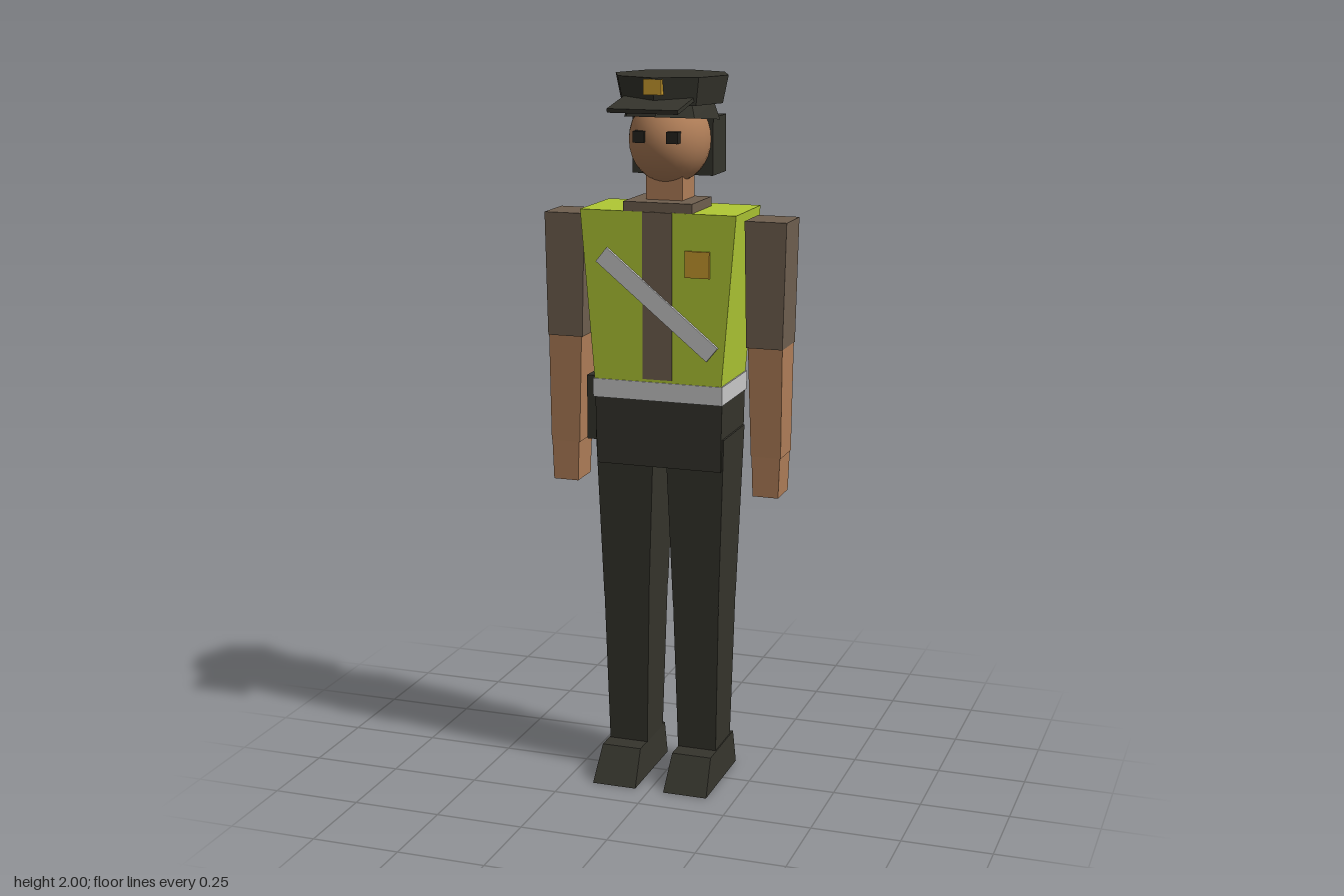
import * as THREE from 'three';

const mat = (name, color) => Object.assign(new THREE.MeshStandardMaterial({ color }), { name });

export function createModel() {
  const dark = mat('dark cloth', 0x35342c);
  const vest = mat('bright vest', 0xb0c834);
  const shirt = mat('brown shirt', 0x6f5f4f);
  const skin = mat('skin', 0xb07e58);
  const silver = mat('reflective silver', 0xc8c8c8);
  const gold = mat('gold', 0xc89a2e);
  const black = mat('eye black', 0x25231e);

  const model = new THREE.Group();
  model.name = 'officer';

  const add = (name, geometry, material, parent = model) => {
    const mesh = new THREE.Mesh(geometry, material);
    mesh.name = name;
    parent.add(mesh);
    return mesh;
  };

  // Tapered block: bottom and top are [x0, x1, z0, z1]
  const block = (name, material, y0, y1, bottom, top = bottom, parent = model) => {
    const g = new THREE.BoxGeometry(1, 1, 1);
    const p = g.attributes.position;
    for (let i = 0; i < p.count; i++) {
      const r = p.getY(i) > 0 ? top : bottom;
      p.setXYZ(i, p.getX(i) > 0 ? r[1] : r[0], p.getY(i) > 0 ? y1 : y0, p.getZ(i) > 0 ? r[3] : r[2]);
    }
    g.computeVertexNormals();
    return add(name, g, material, parent);
  };

  // Torso
  block('vest', vest, 1.17, 1.64, [-0.183, 0.183, -0.147, 0.081], [-0.222, 0.222, -0.147, 0.081]);
  block('shirtFront', shirt, 1.18, 1.64, [-0.042, 0.042, 0.077, 0.084]);
  block('collar', shirt, 1.635, 1.666, [-0.098, 0.098, -0.09, 0.08]);
  block('belt', silver, 1.12, 1.172, [-0.187, 0.187, -0.148, 0.084]);
  block('hips', dark, 0.93, 1.12, [-0.18, 0.18, -0.138, 0.074], [-0.184, 0.184, -0.14, 0.075]);
  block('holster', dark, 0.985, 1.168, [-0.225, -0.18, -0.1, 0.032]);
  const sash = add('sash', new THREE.BoxGeometry(0.41, 0.05, 0.009), silver);
  sash.position.set(0, 1.39, 0.086);
  sash.rotation.z = -0.685;
  block('chestBadge', gold, 1.468, 1.54, [0.08, 0.15, 0.08, 0.089]);

  // Limbs, mirrored across x
  for (const side of [1, -1]) {
    const m = ([a, b, c, d]) => (side > 0 ? [a, b, c, d] : [-b, -a, c, d]);
    const limb = (name, parts) => {
      const group = new THREE.Group();
      group.name = (side > 0 ? 'left' : 'right') + name;
      model.add(group);
      for (const [part, material, y0, y1, bottom, top] of parts) {
        block(part, material, y0, y1, m(bottom), m(top), group);
      }
    };
    limb('Arm', [
      ['sleeve', shirt, 1.275, 1.62, [0.238, 0.34, -0.095, 0.032], [0.23, 0.347, -0.097, 0.03]],
      ['forearm', skin, 0.97, 1.275, [0.252, 0.337, -0.08, 0.024], [0.242, 0.339, -0.088, 0.028]],
      ['hand', skin, 0.857, 0.97, [0.258, 0.331, -0.075, 0.024], [0.254, 0.335, -0.078, 0.024]],
    ]);
    limb('Leg', [
      ['thigh', dark, 0.53, 1.02, [0.036, 0.17, -0.115, 0.053], [0.017, 0.187, -0.13, 0.066]],
      ['shin', dark, 0.095, 0.53, [0.047, 0.16, -0.1, 0.038], [0.036, 0.17, -0.112, 0.051]],
      ['shoe', dark, 0, 0.096, [0.042, 0.17, -0.13, 0.157], [0.048, 0.163, -0.122, 0.094]],
    ]);
  }

  // Head
  block('neck', skin, 1.65, 1.76, [-0.052, 0.052, -0.08, 0.022]);
  const head = add('head', new THREE.SphereGeometry(1, 24, 16), skin);
  head.scale.set(0.112, 0.122, 0.127);
  head.position.set(0, 1.827, -0.03);
  block('hair', dark, 1.728, 1.885, [-0.116, 0.116, -0.164, -0.047]);
  for (const x of [-0.047, 0.047]) {
    block('eye', black, 1.826, 1.857, [x - 0.016, x + 0.016, 0.07, 0.098]);
  }

  // Octagonal cap, with the band riding higher at the front
  const cap = new THREE.Group();
  cap.name = 'cap';
  model.add(cap);
  const octagon = (name, rTop, rBottom, y0, y1, lift) => {
    const g = new THREE.CylinderGeometry(rTop, rBottom, y1 - y0, 8).toNonIndexed();
    g.translate(0, (y0 + y1) / 2, -0.04);
    const p = g.attributes.position;
    for (let i = 0; i < p.count; i++) {
      const y = p.getY(i);
      if (y < (y0 + y1) / 2) p.setY(i, y + lift * (p.getZ(i) + 0.04 + rBottom) / (2 * rBottom));
    }
    g.computeVertexNormals();
    return add(name, g, dark, cap);
  };
  octagon('capBand', 0.12, 0.137, 1.868, 1.93, 0.027);
  octagon('capCrown', 0.161, 0.145, 1.925, 2, 0);
  const brim = add('capBrim', new THREE.BoxGeometry(0.196, 0.011, 0.16), dark, cap);
  brim.position.set(0, 1.932, 0.121);
  brim.rotation.x = 0.17;
  block('capBadge', gold, 1.955, 1.996, [-0.025, 0.025, 0.09, 0.121], undefined, cap);

  return model;
}
